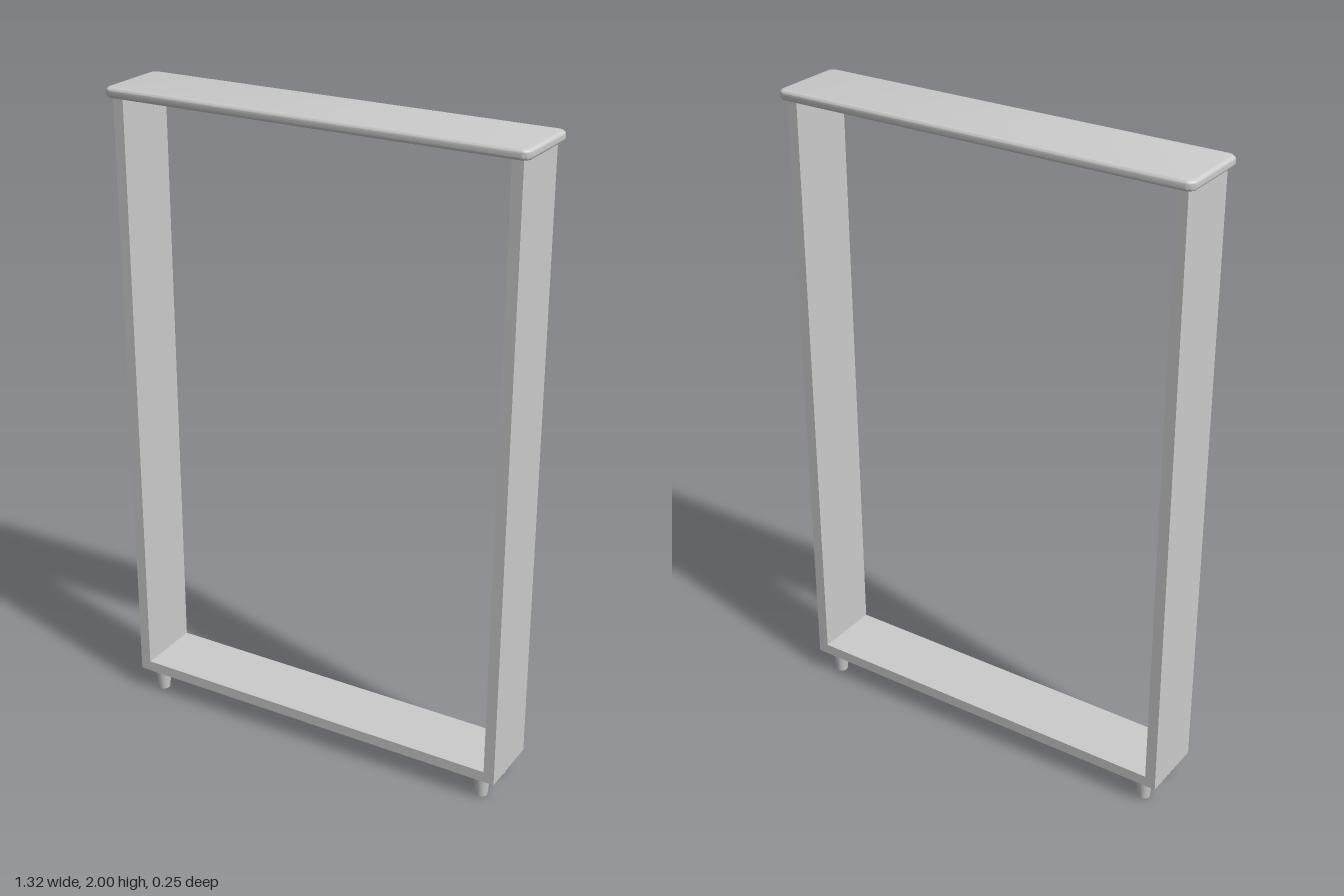
import * as THREE from 'three';
import { toCreasedNormals } from 'three/addons/utils/BufferGeometryUtils.js';

export function createModel() {
  const model = new THREE.Group();
  model.name = 'openFrameShelf';
  const material = new THREE.MeshStandardMaterial({ color: 0xcccccc });

  const add = (name, geometry, x, y, z) => {
    const mesh = new THREE.Mesh(geometry, material);
    mesh.name = name;
    mesh.position.set(x, y, z);
    model.add(mesh);
    return mesh;
  };

  const halfWidth = 0.638, depth = 0.21, board = 0.034;
  const legHeight = 0.074, topY = 2, topThickness = 0.03;

  // Top board: rounded corners in plan, rounded-over edges
  const bevel = 0.012;
  const w = 0.66 - bevel, d = 0.125 - bevel, r = 0.016;
  const outline = new THREE.Shape();
  outline.absarc(w - r, d - r, r, 0, Math.PI / 2);
  outline.absarc(-w + r, d - r, r, Math.PI / 2, Math.PI);
  outline.absarc(-w + r, -d + r, r, Math.PI, Math.PI * 1.5);
  outline.absarc(w - r, -d + r, r, Math.PI * 1.5, Math.PI * 2);
  const topBoard = new THREE.ExtrudeGeometry(outline, {
    depth: topThickness - 2 * bevel,
    bevelEnabled: true,
    bevelSize: bevel,
    bevelThickness: bevel,
    bevelSegments: 5,
    curveSegments: 8,
  });
  topBoard.rotateX(-Math.PI / 2);
  add('topBoard', toCreasedNormals(topBoard, Math.PI / 5), 0, topY - topThickness + bevel, 0);

  // Bottom board between the side panels
  add('bottomBoard', new THREE.BoxGeometry(2 * (halfWidth - board), board, depth),
    0, legHeight + board / 2, 0);

  // Side panels and tapered feet
  const panelHeight = topY - topThickness - legHeight;
  const panel = new THREE.BoxGeometry(board, panelHeight, depth);
  const foot = new THREE.CylinderGeometry(0.027, 0.019, legHeight, 24);
  for (const [side, sx] of [['left', 1], ['right', -1]]) {
    add(side + 'Panel', panel, sx * (halfWidth - board / 2), legHeight + panelHeight / 2, 0);
    for (const [end, sz] of [['Front', 1], ['Back', -1]]) {
      add(side + end + 'Foot', foot, sx * 0.581, legHeight / 2, sz * 0.064);
    }
  }

  return model;
}
